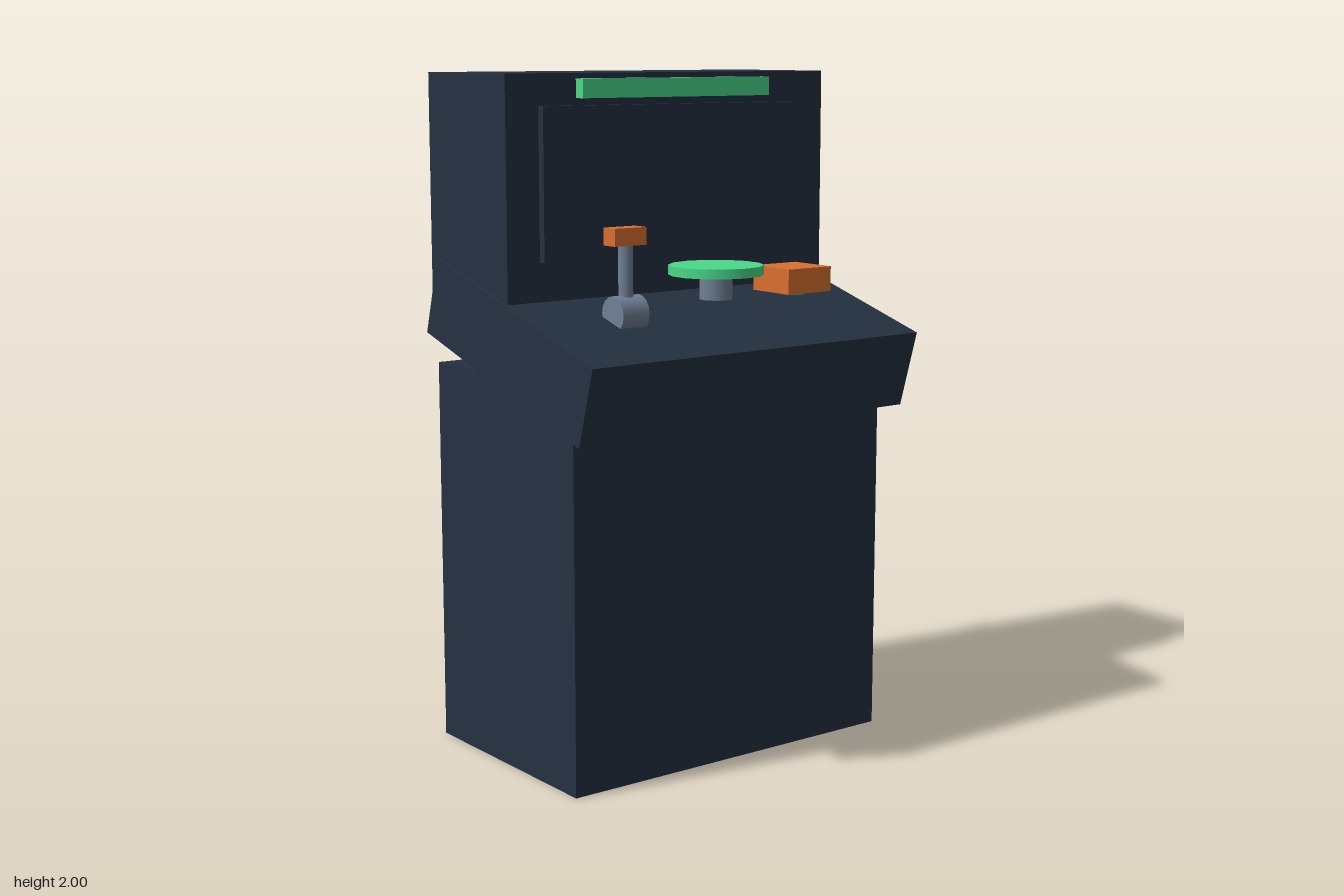
import * as THREE from 'three';

function flatMaterial(name, color) {
  const m = new THREE.MeshStandardMaterial({ color });
  m.name = name;
  return m;
}

export function createModel() {
  const group = new THREE.Group();
  const navy = flatMaterial('navy', 0x253141);
  const green = flatMaterial('green', 0x4ad98a);
  const orange = flatMaterial('orange', 0xd97030);
  const steel = flatMaterial('steel', 0x718096);

  function add(name, geometry, material, x, y, z) {
    const mesh = new THREE.Mesh(geometry, material);
    mesh.name = name;
    mesh.position.set(x, y, z);
    group.add(mesh);
    return mesh;
  }

  // Box given by its [min, max] along each axis
  function addBox(name, material, [x0, x1], [y0, y1], [z0, z1]) {
    return add(name, new THREE.BoxGeometry(x1 - x0, y1 - y0, z1 - z0), material,
      (x0 + x1) / 2, (y0 + y1) / 2, (z0 + z1) / 2);
  }

  // Cabinet
  addBox('base', navy, [-0.558, 0.558], [0, 1.15], [-0.41, 0.295]);
  addBox('upperCabinet', navy, [-0.574, 0.574], [1.355, 2], [-0.41, 0]);

  // Sloping control panel
  const panel = add('controlPanel', new THREE.BoxGeometry(1.174, 0.235, 0.823), navy, 0, 1.238, 0.003);
  panel.rotation.x = 0.283;

  // Screen and light bar
  addBox('screen', navy, [-0.47, 0.47], [1.475, 1.91], [0.008, 0.031]);
  addBox('lightBar', green, [-0.338, 0.338], [1.93, 1.985], [0, 0.035]);

  // Lever: drum pivot, rod and grip
  const pivot = add('leverPivot', new THREE.CylinderGeometry(0.052, 0.052, 0.09, 16), steel, -0.296, 1.335, 0.178);
  pivot.rotation.z = Math.PI / 2;
  add('leverRod', new THREE.CylinderGeometry(0.022, 0.022, 0.19, 10), steel, -0.296, 1.44, 0.178);
  addBox('leverGrip', orange, [-0.35, -0.242], [1.527, 1.577], [0.148, 0.203]);

  // Round dial on its stem
  add('dialStem', new THREE.CylinderGeometry(0.048, 0.048, 0.075, 12), steel, 0.028, 1.39, 0.175);
  const dial = new THREE.CylinderGeometry(0.139, 0.139, 0.028, 14);
  add('dial', dial, green, 0.028, 1.438, 0.175);

  // Square button with a shallow dome underneath
  addBox('button', orange, [0.24, 0.403], [1.356, 1.43], [0.088, 0.25]);
  const dome = add('buttonDome', new THREE.SphereGeometry(0.056, 16, 10), green, 0.32, 1.357, 0.172);
  dome.scale.y = 0.25;

  return group;
}
